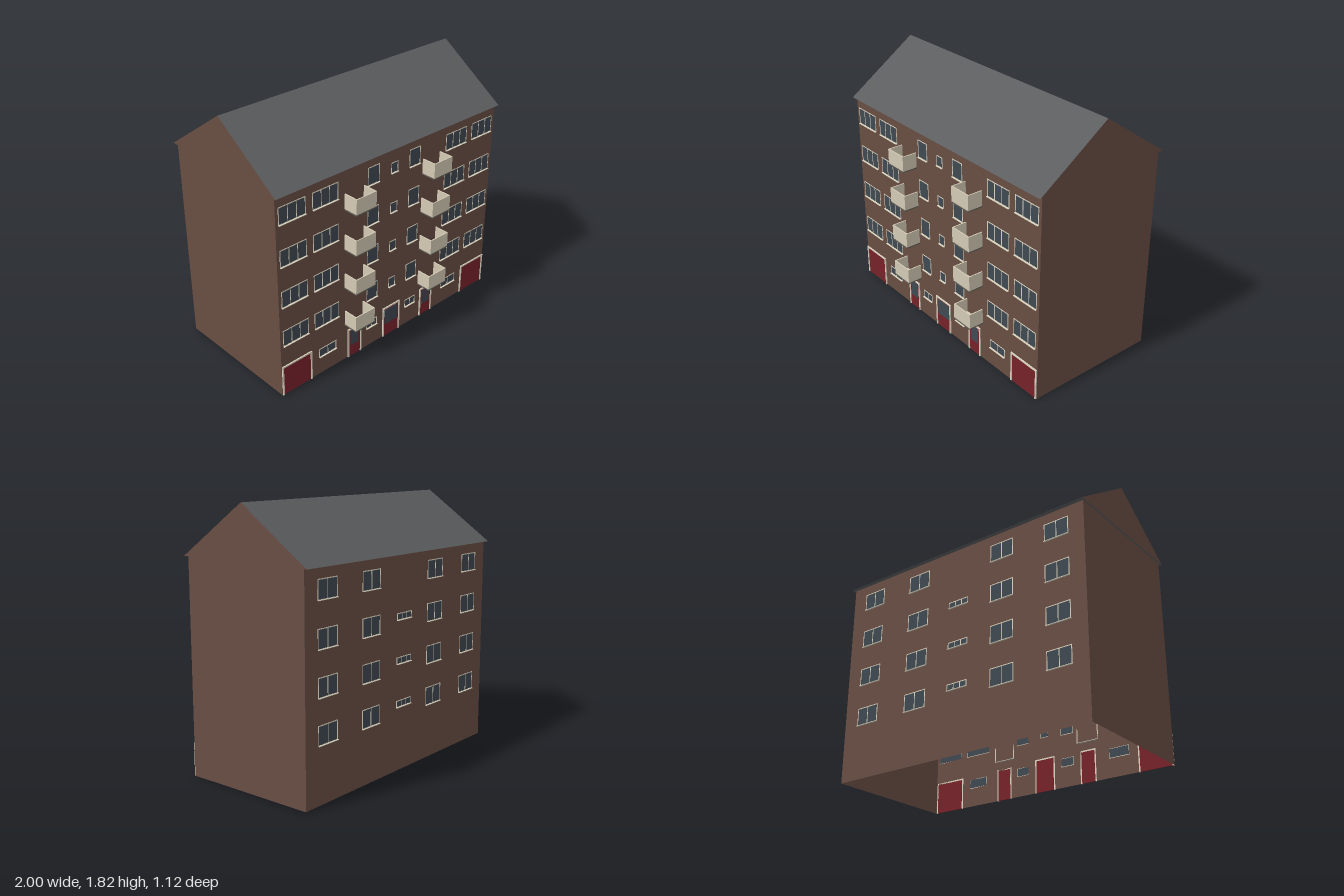
import * as THREE from 'three';

const paint = (color) => new THREE.MeshStandardMaterial({ color });
const FRONT = 0.447, BACK = -0.528, EAVE = 1.462, RIDGE = 1.818;
const STOREYS = [0, 1, 2, 3], STEP = 0.295;

export function createModel() {
  const wall = paint(0x684e43), roofing = paint(0x5b5d5f), glass = paint(0x3f4852);
  const trim = paint(0xdcd4bf), doorRed = paint(0x76222a), concrete = paint(0xd4cbb5), slabGrey = paint(0x605e56);
  wall.side = THREE.DoubleSide;

  // Box given by its min and max corners
  function box(parent, name, mat, x0, x1, y0, y1, z0, z1) {
    const mesh = new THREE.Mesh(new THREE.BoxGeometry(x1 - x0, y1 - y0, z1 - z0), mat);
    mesh.position.set((x0 + x1) / 2, (y0 + y1) / 2, (z0 + z1) / 2);
    mesh.name = name;
    parent.add(mesh);
    return mesh;
  }

  function part(parent, name, x, y) {
    const g = new THREE.Group();
    g.name = name;
    g.position.set(x, y, 0);
    parent.add(g);
    return g;
  }

  // Flat frame with rectangular openings [x0, x1, y0, y1]
  function frame(parent, name, w, h, openings, depth) {
    const rect = (path, x0, x1, y0, y1) =>
      path.moveTo(x0, y0).lineTo(x1, y0).lineTo(x1, y1).lineTo(x0, y1).closePath();
    const shape = rect(new THREE.Shape(), -w / 2, w / 2, 0, h);
    openings.forEach((o) => shape.holes.push(rect(new THREE.Path(), ...o)));
    const mesh = new THREE.Mesh(new THREE.ExtrudeGeometry(shape, { depth, bevelEnabled: false }), trim);
    mesh.name = name;
    parent.add(mesh);
  }

  // Window with equal panes and a projecting sill; x is its centre, y its bottom
  function addWindow(parent, name, x, y, w, h, panes) {
    const g = part(parent, name, x, y), t = 0.006;
    const pw = (w - t * (panes + 1)) / panes;
    const openings = [];
    for (let i = 0; i < panes; i++) {
      const x0 = -w / 2 + t + i * (pw + t);
      openings.push([x0, x0 + pw, t, h - t]);
    }
    frame(g, 'windowFrame', w, h, openings, 0.002);
    box(g, 'windowGlass', glass, -w / 2 + t / 2, w / 2 - t / 2, t / 2, h - t / 2, -0.001, 0.001);
    box(g, 'windowSill', trim, -w / 2, w / 2, -0.001, 0.003, 0, 0.011);
  }

  // Door leaf in a frame that is open at the floor, with an optional glass panel
  function addDoor(parent, name, x, w, h, pane) {
    const g = part(parent, name, x, 0), t = 0.011;
    box(g, 'doorLeaf', doorRed, -w / 2 + t, w / 2 - t, 0, h - t, -0.002, 0.003);
    for (const s of [-1, 1]) {
      const c = s * (w / 2 - t / 2);
      box(g, 'doorJamb', trim, c - t / 2, c + t / 2, 0, h, 0, 0.008);
    }
    box(g, 'doorLintel', trim, -w / 2 + t, w / 2 - t, h - t, h, 0, 0.008);
    if (pane) box(g, 'doorGlass', glass, -pane[0], pane[0], pane[1], pane[2], 0, 0.005);
  }

  // Open-topped balcony: slab and three parapets
  function addBalcony(parent, x, y) {
    const g = part(parent, 'balcony', x, y), w = 0.086, d = 0.109, t = 0.008;
    box(g, 'balconySlab', slabGrey, -w - 0.002, w + 0.002, 0, 0.008, 0, d + 0.003);
    box(g, 'balconyFloor', concrete, -w + t, w - t, 0.008, 0.012, 0, d - t);
    box(g, 'balconyFront', concrete, -w, w, 0.008, 0.115, d - t, d);
    for (const s of [-1, 1]) {
      const c = s * (w - t / 2);
      box(g, 'balconySide', concrete, c - t / 2, c + t / 2, 0.008, 0.115, 0, d - t);
    }
  }

  const model = new THREE.Group();
  model.name = 'apartmentBlock';

  // Hollow walls: drop the top and bottom faces of the box
  const shell = box(model, 'walls', wall, -0.988, 0.988, 0, EAVE, BACK, FRONT).geometry;
  const corners = Array.from(shell.index.array);
  shell.setIndex([...corners.slice(0, 12), ...corners.slice(24)]);
  shell.clearGroups();

  // Gabled roof: brick ends, slate slopes and soffit
  const section = new THREE.Shape([
    new THREE.Vector2(-0.558, EAVE), new THREE.Vector2(0.474, EAVE), new THREE.Vector2(-0.042, RIDGE),
  ]);
  const roof = new THREE.Mesh(
    new THREE.ExtrudeGeometry(section, { depth: 2, bevelEnabled: false }), [wall, roofing]);
  roof.rotation.y = -Math.PI / 2;
  roof.position.x = 1;
  roof.name = 'roof';
  model.add(roof);

  // Front facade
  const front = part(model, 'frontFacade', 0, 0);
  front.position.z = FRONT;
  for (const i of STOREYS) {
    const y = 0.381 + i * STEP;
    addWindow(front, 'stairWindow', 0, y + 0.012, 0.064, 0.077, 1);
    for (const s of [-1, 1]) {
      addWindow(front, 'outerWindow', s * 0.86, y, 0.211, 0.122, 3);
      addWindow(front, 'livingWindow', s * 0.597, y, 0.211, 0.122, 3);
      addWindow(front, 'tallWindow', s * 0.189, y - 0.004, 0.103, 0.13, 1);
      addBalcony(front, s * 0.353, 0.283 + i * STEP);
    }
  }
  addDoor(front, 'mainDoor', 0, 0.165, 0.24, [0.063, 0.1, 0.218]);
  for (const s of [-1, 1]) {
    addDoor(front, 'garageDoor', s * 0.86, 0.25, 0.228);
    addDoor(front, 'sideDoor', s * 0.353, 0.125, 0.23, [0.038, 0.09, 0.21]);
    addWindow(front, 'cellarWindow', s * 0.594, 0.135, 0.153, 0.067, 2);
    addWindow(front, 'smallCellarWindow', s * 0.189, 0.146, 0.103, 0.06, 2);
  }

  // Back facade
  const back = part(model, 'backFacade', 0, 0);
  back.position.z = BACK;
  back.rotation.y = Math.PI;
  for (const i of STOREYS) {
    const y = 0.379 + i * STEP;
    for (const x of [-0.782, -0.356, 0.356, 0.782]) addWindow(back, 'rearWindow', x, y, 0.182, 0.128, 2);
    if (i < 3) addWindow(back, 'landingWindow', 0, 0.439 + i * STEP, 0.163, 0.048, 3);
  }
  return model;
}
